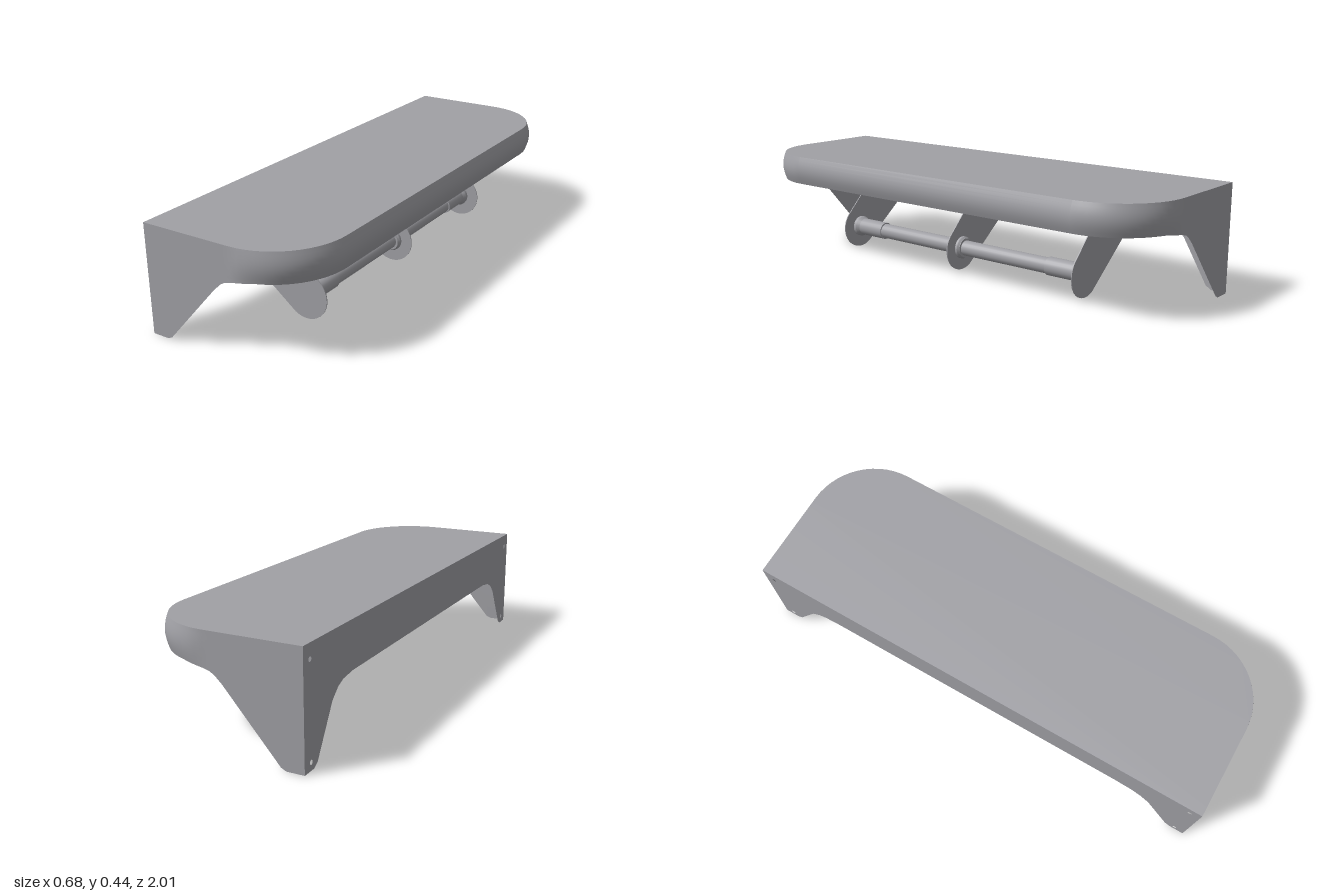
import * as THREE from 'three';

const BACK = -0.34, FRONT = 0.325, TOP = 0.44, R = 0.28;

export function createModel() {
  const group = new THREE.Group();
  const metal = new THREE.MeshStandardMaterial({ color: 0xa0a0a5, side: THREE.DoubleSide });
  metal.name = 'grey metal';
  const add = (name, geometry) => {
    const mesh = new THREE.Mesh(geometry, metal);
    mesh.name = name;
    group.add(mesh);
    return mesh;
  };

  // Plan outline from one back corner around the front to the other, as (x, z)
  const half = [-0.34, -0.3, -0.27, -0.25, -0.12, -0.03, 0, 0.02].map(x => [x, 1]);
  for (let i = 0; i <= 14; i++) {
    const a = Math.PI / 2 * (1 - i / 14);
    half.push([FRONT - R + R * Math.cos(a), 1 - R + R * Math.sin(a)]);
  }
  const outline = [...half, ...half.slice().reverse().map(([x, z]) => [x, -z])];

  // Flat shelf top
  const topShape = new THREE.Shape(outline.map(([x, z]) => new THREE.Vector2(x, -z)));
  add('shelfTop', new THREE.ShapeGeometry(topShape).rotateX(-Math.PI / 2).translate(0, TOP, 0));

  // Side panels and bulging front rim as one continuous skirt
  const lower = [[-0.34, 0], [-0.27, 0], [-0.25, 0.01], [-0.03, 0.26], [0, 0.288],
    [0.02, 0.3], [0.05, 0.308], [0.14, 0.32], [1, 0.32]];
  const bottomAt = x => {
    const i = Math.max(1, lower.findIndex(p => p[0] >= x - 1e-6));
    const [a, b] = [lower[i - 1], lower[i]];
    return THREE.MathUtils.mapLinear(x, a[0], b[0], a[1], b[1]);
  };
  const rows = 8, pos = [], idx = [];
  outline.forEach(([x, z], i) => {
    const t = THREE.MathUtils.clamp((x - 0.045) / R, 0, 1);
    const bottom = bottomAt(x);
    for (let j = 0; j <= rows; j++) {
      const bulge = 0.015 * Math.sqrt(t) * Math.sin(Math.PI * j / rows);
      const nz = Math.sign(z) * Math.sqrt(1 - t * t);
      pos.push(x + bulge * t, bottom + (TOP - bottom) * j / rows, z + bulge * nz);
      if (i < outline.length - 1 && j < rows) {
        const a = i * (rows + 1) + j, b = a + rows + 1;
        idx.push(a, b, a + 1, b, b + 1, a + 1);
      }
    }
  });
  const skirt = new THREE.BufferGeometry();
  skirt.setAttribute('position', new THREE.Float32BufferAttribute(pos, 3));
  skirt.setIndex(idx);
  skirt.computeVertexNormals();
  add('sidesAndRim', skirt);

  // Back wall with two legs and screw holes, drawn in (z, y)
  const leg = [[1, TOP], [1, 0], [0.94, 0], [0.915, 0.015], [0.81, 0.195], [0.77, 0.23], [0.73, 0.247], [0.66, 0.255]];
  const wall = new THREE.Shape([...leg, ...leg.slice().reverse().map(([z, y]) => [-z, y])]
    .map(p => new THREE.Vector2(...p)));
  for (const s of [-1, 1]) for (const y of [0.03, 0.385]) {
    wall.holes.push(new THREE.Path().absarc(s * 0.957, y, 0.009, 0, Math.PI * 2));
  }
  add('backWall', new THREE.ShapeGeometry(wall).rotateY(-Math.PI / 2).translate(BACK, 0, 0));

  // Three hanging bracket plates with rounded ends
  const axis = { x: 0.07, y: 0.1 };
  const plate = new THREE.Shape();
  plate.moveTo(-0.13, TOP - 0.002);
  plate.lineTo(BACK + 0.002, TOP - 0.002);
  plate.lineTo(BACK + 0.002, 0.305);
  plate.lineTo(0.015, 0.023);
  plate.absarc(axis.x, axis.y, 0.095, -2.2, 0.68, false);
  const plateGeometry = new THREE.ExtrudeGeometry(plate, { depth: 0.004, bevelEnabled: false, curveSegments: 20 });
  for (const z of [-0.617, 0, 0.617]) {
    add('bracketPlate', plateGeometry).position.z = z - 0.002;
  }

  // Round bar, turned from (radius, distance from middle) and mirrored
  const profile = [[0.047, 0], [0.047, 0.012], [0.041, 0.02], [0.041, 0.022], [0.032, 0.022],
    [0.032, 0.45], [0.037, 0.45], [0.037, 0.585], [0.045, 0.6], [0.045, 0.614], [0, 0.614]];
  for (let i = 0; i < profile.length - 1; i++) {
    const pts = [profile[i], profile[i + 1]].map(p => new THREE.Vector2(...p));
    const part = new THREE.LatheGeometry(pts, 24);
    for (const s of [-1, 1]) {
      const mesh = add('rollBar', part);
      mesh.rotation.x = s * Math.PI / 2;
      mesh.position.set(axis.x, axis.y, 0);
    }
  }
  return group;
}
